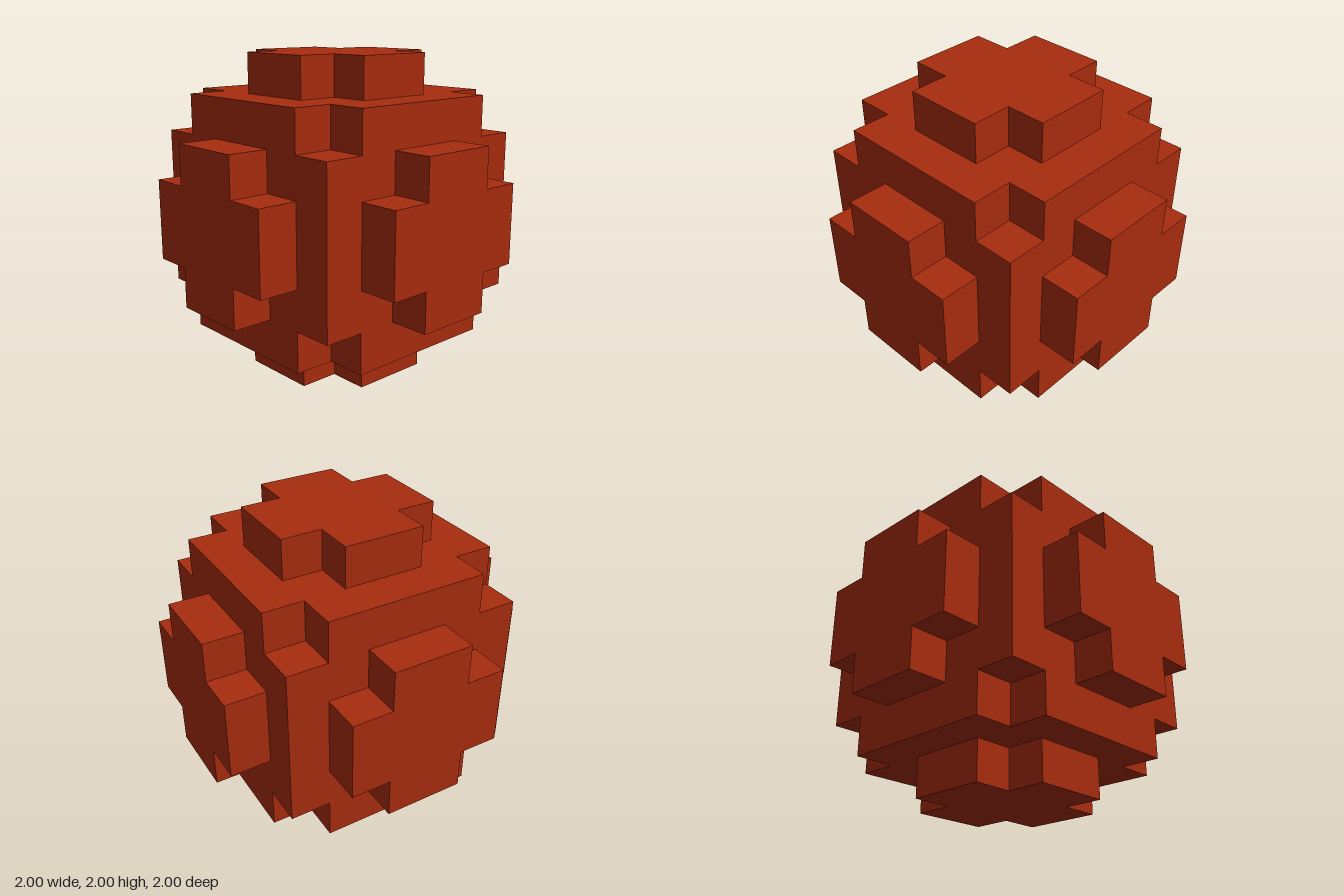
import * as THREE from 'three';

const V = 0.25; // one block

// Square of half-width `outer` with its corners cut back to `inner`, extruded one block
function notchedSlab(outer, inner) {
  const pts = [];
  for (let i = 0; i < 4; i++) {
    const turn = new THREE.Vector2();
    for (const [x, y] of [[outer, -inner], [outer, inner], [inner, inner]]) {
      pts.push(new THREE.Vector2(x, y).rotateAround(turn, i * Math.PI / 2));
    }
  }
  return new THREE.ExtrudeGeometry(new THREE.Shape(pts), { depth: V, bevelEnabled: false });
}

export function createModel() {
  const model = new THREE.Group();
  model.name = 'blockBall';
  const red = new THREE.MeshStandardMaterial({ color: 0xa82c0f });
  red.name = 'brick red';

  const add = (parent, name, geometry) => {
    const mesh = new THREE.Mesh(geometry, red);
    mesh.name = name;
    parent.add(mesh);
    return mesh;
  };

  // Core: a cube with its eight corner blocks missing
  const core = new THREE.Group();
  core.name = 'core';
  core.position.y = 1;
  model.add(core);
  add(core, 'coreMiddle', new THREE.BoxGeometry(1.5, 1.5, 1));
  const coreSlab = notchedSlab(0.75, 0.5);
  add(core, 'coreFront', coreSlab).position.z = 0.5;
  add(core, 'coreBack', coreSlab).position.z = -0.75;

  // A raised cross on each of the six sides
  const cross = notchedSlab(0.5, 0.25);
  const q = Math.PI / 2;
  const sides = {
    front: [0, 0], left: [0, q], back: [0, 2 * q], right: [0, -q], top: [-q, 0], bottom: [q, 0],
  };
  for (const [side, [rx, ry]] of Object.entries(sides)) {
    const mesh = add(model, side + 'Cross', cross);
    mesh.rotation.set(rx, ry, 0);
    mesh.position.set(0, 0, 0.75).applyEuler(mesh.rotation);
    mesh.position.y += 1;
  }
  return model;
}
